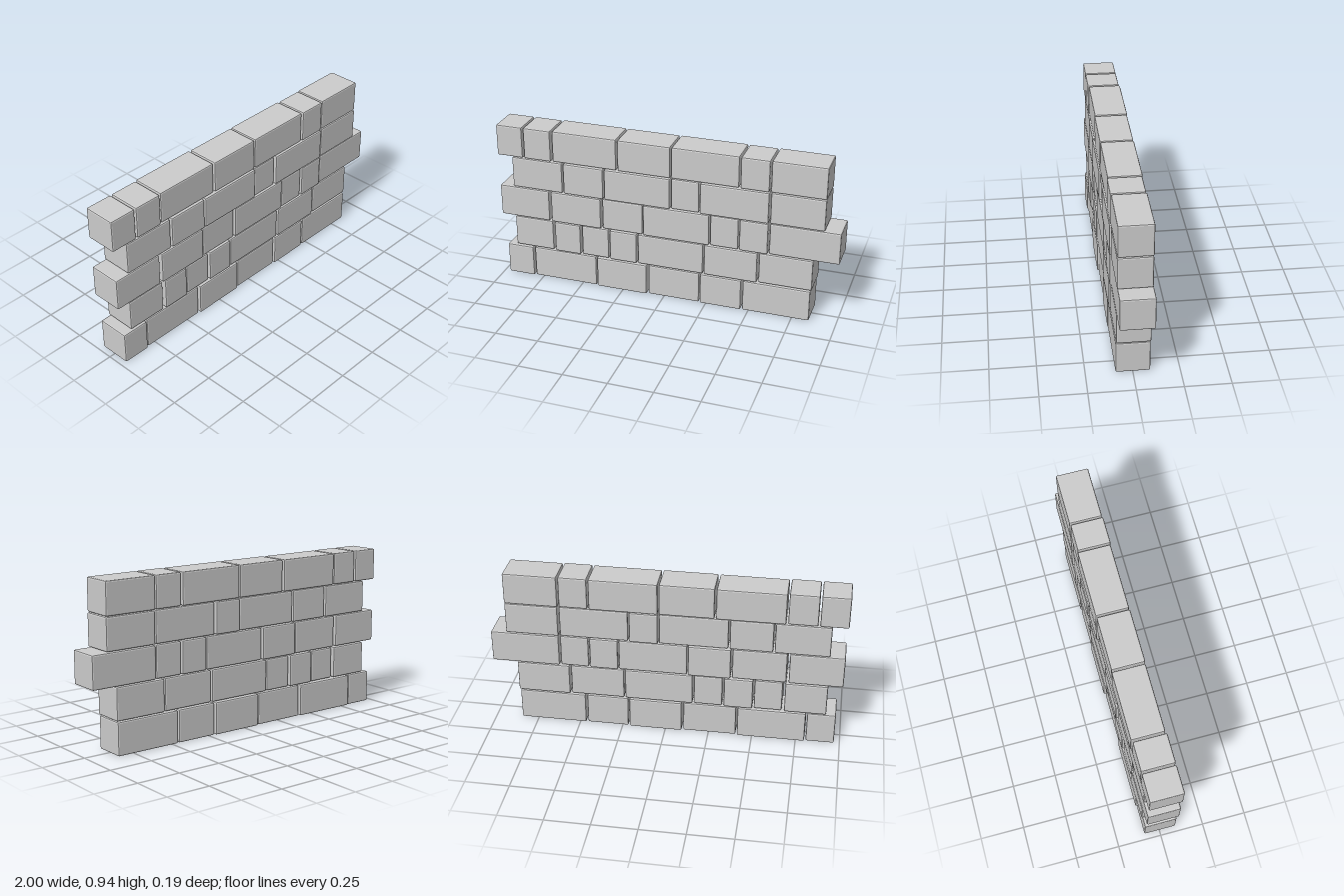
import * as THREE from 'three';
import { RoundedBoxGeometry } from 'three/addons/geometries/RoundedBoxGeometry.js';

const DEPTH = 0.184, BEVEL = 0.008;

// Each course: bottom, top, then bricks as [left edge, right edge, depth offset]
const COURSES = [
  { y: [0.003, 0.189], bricks: [[-0.968, -0.808, 0.004], [-0.8, -0.415, -0.003], [-0.406, -0.104, 0.005],
    [-0.094, 0.208, -0.004], [0.216, 0.455, 0.002], [0.465, 0.848, -0.001]] },
  { y: [0.195, 0.379], bricks: [[-0.912, -0.676, -0.002], [-0.662, -0.505, 0.005], [-0.496, -0.334, -0.003],
    [-0.324, -0.163, 0.004], [-0.155, 0.23, 0], [0.238, 0.543, 0.003], [0.552, 0.854, -0.004]] },
  { y: [0.383, 0.569], bricks: [[-0.994, -0.692, 0.002], [-0.678, -0.376, 0.005], [-0.367, -0.128, -0.004],
    [-0.122, 0.264, 0.003], [0.27, 0.43, -0.002], [0.438, 0.598, 0.003], [0.606, 0.997, -0.005]] },
  { y: [0.572, 0.755], bricks: [[-0.91, -0.606, 0.001], [-0.597, -0.358, 0.004], [-0.35, 0.036, 0.005],
    [0.042, 0.202, -0.005], [0.21, 0.597, 0.004], [0.606, 0.907, -0.002]] },
  { y: [0.758, 0.942], bricks: [[-0.998, -0.842, 0.001], [-0.832, -0.67, 0.001], [-0.66, -0.28, -0.005],
    [-0.27, 0.035, -0.002], [0.043, 0.426, -0.004], [0.435, 0.595, 0], [0.603, 0.907, -0.004]] },
];

export function createModel() {
  const wall = new THREE.Group();
  wall.name = 'brickWall';
  const stone = new THREE.MeshStandardMaterial({ color: 0xcccccc, flatShading: true });

  COURSES.forEach(({ y: [bottom, top], bricks }, row) => {
    const course = new THREE.Group();
    course.name = `course${row + 1}`;
    bricks.forEach(([left, right, z], i) => {
      // One-segment rounding gives a plain chamfer on every edge
      const brick = new THREE.Mesh(
        new RoundedBoxGeometry(right - left, top - bottom, DEPTH, 1, BEVEL), stone);
      brick.name = `brick${i + 1}`;
      brick.position.set((left + right) / 2, (bottom + top) / 2, z);
      course.add(brick);
    });
    wall.add(course);
  });
  return wall;
}
